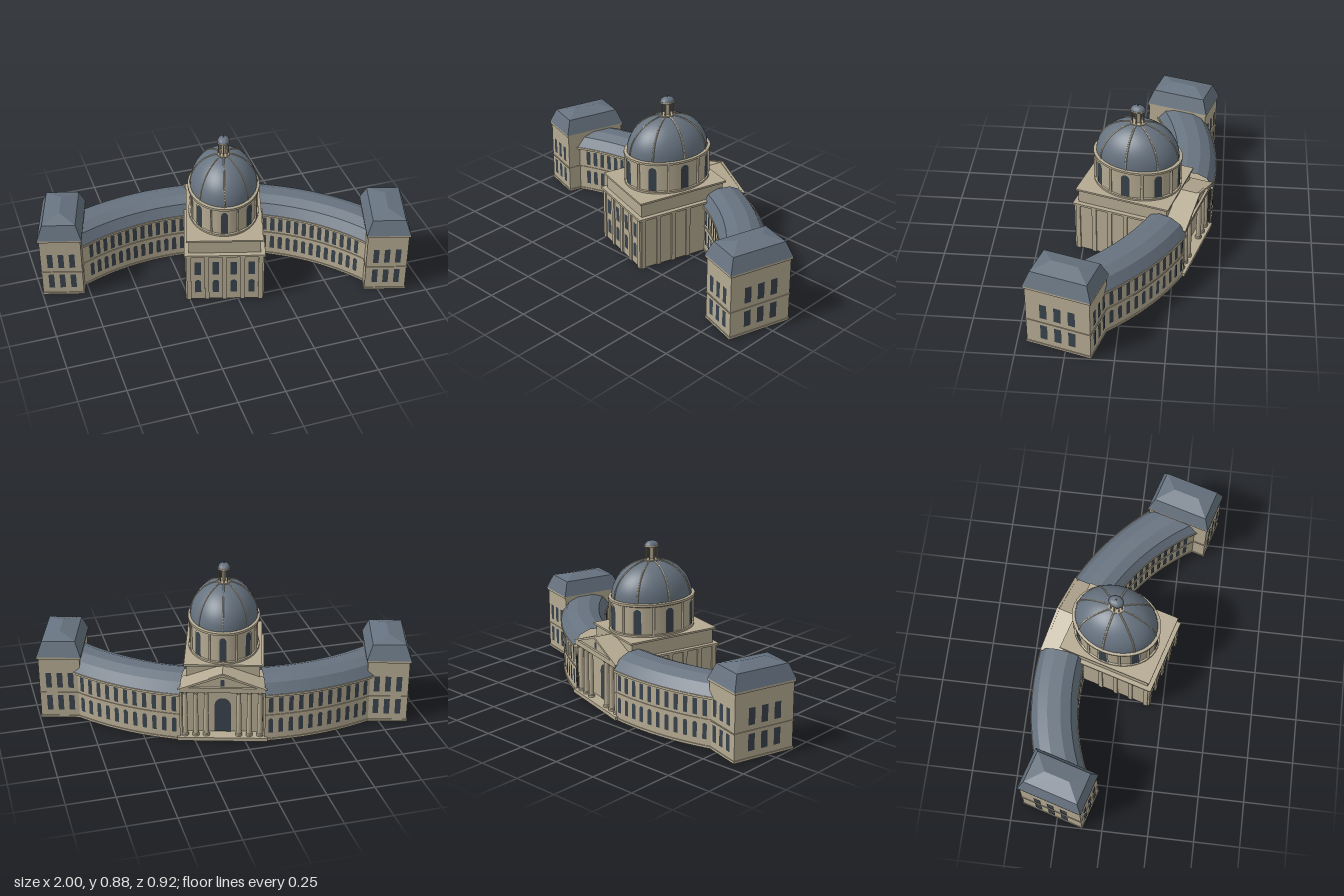
import * as THREE from 'three';
import { toCreasedNormals } from 'three/addons/utils/BufferGeometryUtils.js';

const mat = (color) => new THREE.MeshStandardMaterial({ color, side: THREE.DoubleSide });
const stone = mat(0xb5aa92), slate = mat(0x66727f), glass = mat(0x38424c);

function add(parent, name, geo, material, x = 0, y = 0, z = 0, ry = 0) {
  const m = new THREE.Mesh(geo, material);
  m.name = name;
  m.position.set(x, y, z);
  m.rotation.y = ry;
  parent.add(m);
  return m;
}

// Box given by its limits; open leaves out the floor
function box(parent, name, x0, x1, y0, y1, z0, z1, open = false) {
  const geo = new THREE.BoxGeometry(x1 - x0, y1 - y0, z1 - z0);
  if (open) {
    const index = Array.from(geo.index.array);
    index.splice(18, 6);
    geo.setIndex(index);
    geo.clearGroups();
  }
  return add(parent, name, geo, stone, (x0 + x1) / 2, (y0 + y1) / 2, (z0 + z1) / 2);
}

// Flat window pane standing on y = 0, with or without a round head
function paneGeometry(w, h, arched) {
  const s = new THREE.Shape();
  s.moveTo(-w / 2, 0);
  s.lineTo(w / 2, 0);
  if (arched) {
    s.lineTo(w / 2, h - w / 2);
    s.absarc(0, h - w / 2, w / 2, 0, Math.PI, false);
  } else {
    s.lineTo(w / 2, h);
    s.lineTo(-w / 2, h);
  }
  return new THREE.ShapeGeometry(s, 8);
}

function lathe(points, segments, start = 0, length = Math.PI * 2, crease = 0.3) {
  const pts = points.map(([r, y]) => new THREE.Vector2(r, y));
  return toCreasedNormals(new THREE.LatheGeometry(pts, segments, start, length), crease);
}

// Roof made of rectangular rings [halfWidth, y, halfDepth]
function ringRoof(rings) {
  const pos = [];
  const corner = ([w, y, d], i) => [[w, y, d], [w, y, -d], [-w, y, -d], [-w, y, d]][i % 4];
  for (let k = 0; k < rings.length - 1; k++) {
    for (let i = 0; i < 4; i++) {
      const a = corner(rings[k], i), b = corner(rings[k], i + 1);
      const c = corner(rings[k + 1], i + 1), d = corner(rings[k + 1], i);
      pos.push(...a, ...b, ...c, ...a, ...c, ...d);
    }
  }
  const geo = new THREE.BufferGeometry();
  geo.setAttribute('position', new THREE.Float32BufferAttribute(pos, 3));
  geo.computeVertexNormals();
  return geo;
}

const RI = 1.175, RO = 1.404, ARC_Z = 1;

// Curved wing on side s, swept about (0, ARC_Z)
function wing(s) {
  const g = new THREE.Group();
  g.name = s > 0 ? 'leftWing' : 'rightWing';
  const t0 = 0.158, t1 = 0.73;
  const start = s > 0 ? Math.PI - t1 : Math.PI + t0;
  const sweep = (name, pts, m) => add(g, name, lathe(pts, 28, start, t1 - t0), m, 0, 0, ARC_Z);
  const ring = (name, r0, r1, y0, y1) =>
    sweep(name, [[r0, y0], [r1, y0], [r1, y1], [r0, y1], [r0, y0]], stone);
  sweep('wingInnerWall', [[RI, 0.265], [RI, 0]], stone);
  sweep('wingOuterWall', [[RO, 0], [RO, 0.265]], stone);
  ring('wingCornice', RI - 0.012, RO + 0.014, 0.264, 0.276);
  for (const r of [RI, RO]) {
    ring('wingStringCourse', r - 0.004, r + 0.004, 0.147, 0.153);
    ring('wingPlinth', r - 0.004, r + 0.004, 0, 0.012);
  }
  sweep('wingRoof', [[RO + 0.01, 0.276], [RO - 0.025, 0.33], [1.325, 0.354],
    [1.255, 0.354], [RI + 0.025, 0.33], [RI - 0.008, 0.276]], slate);
  const upper = paneGeometry(0.024, 0.085, false), lower = paneGeometry(0.024, 0.085, true);
  const row = (r, first, count, outer) => {
    for (let i = 0; i < count; i++) {
      const t = s * (first - i * 0.0385);
      const x = r * Math.sin(t), z = ARC_Z - r * Math.cos(t), ry = outer ? Math.PI - t : -t;
      add(g, 'wingUpperWindow', upper, glass, x, 0.168, z, ry);
      add(g, 'wingArchedWindow', lower, glass, x, 0.046, z, ry);
    }
  };
  row(RO + 0.003, 0.565, 11, true);
  row(RI - 0.003, 0.66, 13, false);
  return g;
}

// End pavilion with mansard roof
function pavilion(s) {
  const g = new THREE.Group();
  g.name = s > 0 ? 'leftPavilion' : 'rightPavilion';
  g.position.set(s * 0.874, 0, 0.004);
  const w = 0.11, d = 0.173;
  box(g, 'pavilionWalls', -w, w, 0, 0.36, -d, d, true);
  for (const [name, y0, y1, o] of [['pavilionPlinth', 0, 0.012, 0.004],
    ['pavilionStringCourse', 0.148, 0.154, 0.004], ['pavilionCornice', 0.354, 0.366, 0.007]]) {
    for (const k of [-1, 1]) {
      box(g, name, k * w - o, k * w + o, y0, y1, -d - o, d + o);
      box(g, name, -w - o, w + o, y0, y1, k * d - o, k * d + o);
    }
  }
  add(g, 'pavilionRoof', ringRoof([[w + 0.008, 0.366, d + 0.008], [w - 0.022, 0.447, d - 0.022],
    [0, 0.471, 0.07]]), slate);
  for (const y of [0.047, 0.182]) {
    for (const i of [-1, 0, 1]) {
      add(g, 'pavilionSideWindow', paneGeometry(0.038, 0.089, false), glass,
        s * (w + 0.003), y, i * 0.0757, s * Math.PI / 2);
      for (const k of [-1, 1]) {
        add(g, 'pavilionEndWindow', paneGeometry(0.03, 0.089, false), glass,
          i * 0.059, y, k * (d + 0.003), k > 0 ? 0 : Math.PI);
      }
    }
  }
  return g;
}

// Central block carrying the dome
function centre() {
  const g = new THREE.Group();
  g.name = 'centralBlock';
  box(g, 'blockWalls', -0.203, 0.203, 0, 0.295, -0.33, 0.236, true);
  box(g, 'blockCornice', -0.216, 0.216, 0.292, 0.304, -0.33, 0.25);
  box(g, 'attic', -0.192, 0.192, 0.304, 0.384, -0.275, 0.224);
  box(g, 'atticCap', -0.204, 0.204, 0.382, 0.392, -0.287, 0.236);
  for (let i = -2; i <= 2; i++) {
    box(g, 'frontPilaster', i * 0.096 - 0.012, i * 0.096 + 0.012, 0, 0.292, 0.23, 0.244);
  }
  for (const x of [-0.144, -0.048, 0.048, 0.144]) {
    add(g, 'frontUpperWindow', paneGeometry(0.034, 0.085, false), glass, x, 0.167, 0.239);
    add(g, 'frontArchedWindow', paneGeometry(0.034, 0.085, true), glass, x, 0.046, 0.239);
  }
  for (const s of [-1, 1]) {
    for (const z of [0.222, 0.13, 0.04, -0.05]) {
      box(g, 'sidePilaster', s * 0.203 - 0.008, s * 0.203 + 0.008, 0, 0.292, z - 0.012, z + 0.012);
    }
  }
  return g;
}

// Columned entrance under a gable, on the convex side
function portico() {
  const g = new THREE.Group();
  g.name = 'portico';
  box(g, 'porticoStep', -0.235, 0.235, 0, 0.02, -0.4, -0.3);
  box(g, 'porticoArchitrave', -0.222, 0.222, 0.284, 0.306, -0.392, -0.27);
  for (const s of [-1, 1]) {
    box(g, 'porticoEndPier', s * 0.217 - 0.006, s * 0.217 + 0.006, 0.02, 0.284, -0.375, -0.29);
    for (const x of [0.085, 0.14, 0.195]) {
      add(g, 'column', lathe([[0.018, 0.02], [0.018, 0.03], [0.014, 0.034], [0.014, 0.12],
        [0.0115, 0.268], [0.018, 0.278], [0.018, 0.285]], 14), stone, s * x, 0, -0.368);
    }
  }
  add(g, 'door', paneGeometry(0.085, 0.2, true), glass, 0, 0.02, -0.333, Math.PI);
  // Gable body and projecting raking frame
  const tri = (w, y0, y1, P) => {
    const p = new P();
    p.moveTo(-w, y0);
    p.lineTo(w, y0);
    p.lineTo(0, y1);
    p.closePath();
    return p;
  };
  const body = new THREE.ExtrudeGeometry(tri(0.226, 0.306, 0.388, THREE.Shape),
    { depth: 0.12, bevelEnabled: false });
  add(g, 'gable', body, stone, 0, 0, -0.382);
  const frame = tri(0.232, 0.304, 0.393, THREE.Shape);
  frame.holes.push(tri(0.18, 0.313, 0.379, THREE.Path));
  add(g, 'gableFrame', new THREE.ExtrudeGeometry(frame, { depth: 0.014, bevelEnabled: false }),
    stone, 0, 0, -0.395);
  add(g, 'gableWindow', paneGeometry(0.022, 0.038, true), glass, 0, 0.32, -0.384, Math.PI);
  return g;
}

// Oval drum, ribbed dome and lantern
function dome() {
  const g = new THREE.Group();
  g.name = 'dome';
  g.position.set(0, 0, -0.041);
  g.scale.x = 0.79;
  add(g, 'drum', lathe([[0.24, 0.39], [0.24, 0.402], [0.229, 0.404], [0.229, 0.552],
    [0.243, 0.558], [0.243, 0.57], [0.22, 0.573]], 48), stone);
  const R = 0.226, H = 0.19, Y = 0.57, N = 14, shell = [];
  for (let i = 0; i <= N; i++) {
    const a = (i / N) * Math.PI / 2;
    shell.push([R * Math.cos(a), Y + H * Math.sin(a)]);
  }
  add(g, 'domeShell', lathe(shell, 48, 0, Math.PI * 2, 0.6), slate);
  const ribPath = new THREE.CatmullRomCurve3(
    shell.slice(0, N).map(([r, y]) => new THREE.Vector3(0, y, r)));
  for (let i = 0; i < 8; i++) {
    const a = i * Math.PI / 4, b = a + Math.PI / 8;
    add(g, 'domeRib', new THREE.TubeGeometry(ribPath, 20, 0.0045, 6), stone, 0, 0, 0, a);
    add(g, 'drumSurround', paneGeometry(0.062, 0.148, true), stone,
      0.2315 * Math.sin(a), 0.404, 0.2315 * Math.cos(a), a);
    add(g, 'drumWindow', paneGeometry(0.046, 0.134, true), glass,
      0.233 * Math.sin(a), 0.407, 0.233 * Math.cos(a), a);
    add(g, 'drumColumn', new THREE.CylinderGeometry(0.007, 0.008, 0.155, 10), stone,
      0.233 * Math.sin(b), 0.479, 0.233 * Math.cos(b));
    add(g, 'lanternColumn', new THREE.CylinderGeometry(0.0035, 0.0035, 0.076, 8), stone,
      0.033 * Math.sin(a), 0.798, 0.033 * Math.cos(a));
  }
  add(g, 'lanternBase', lathe([[0.042, 0.75], [0.042, 0.762], [0, 0.764]], 24), stone);
  add(g, 'lanternCore', new THREE.CylinderGeometry(0.014, 0.014, 0.076, 12), stone, 0, 0.798, 0);
  add(g, 'lanternRing', lathe([[0, 0.832], [0.042, 0.832], [0.042, 0.84], [0, 0.84]], 24), stone);
  add(g, 'lanternCap', lathe([[0.04, 0.84], [0.036, 0.849], [0.026, 0.857], [0.012, 0.861],
    [0, 0.862]], 24, 0, Math.PI * 2, 0.7), slate);
  add(g, 'finial', new THREE.ConeGeometry(0.004, 0.016, 8), slate, 0, 0.868, 0);
  return g;
}

export function createModel() {
  const model = new THREE.Group();
  model.name = 'domedBuilding';
  const building = new THREE.Group();
  building.name = 'building';
  building.rotation.y = -0.289;
  for (const s of [-1, 1]) building.add(wing(s), pavilion(s));
  building.add(centre(), portico(), dome());
  model.add(building);
  return model;
}
